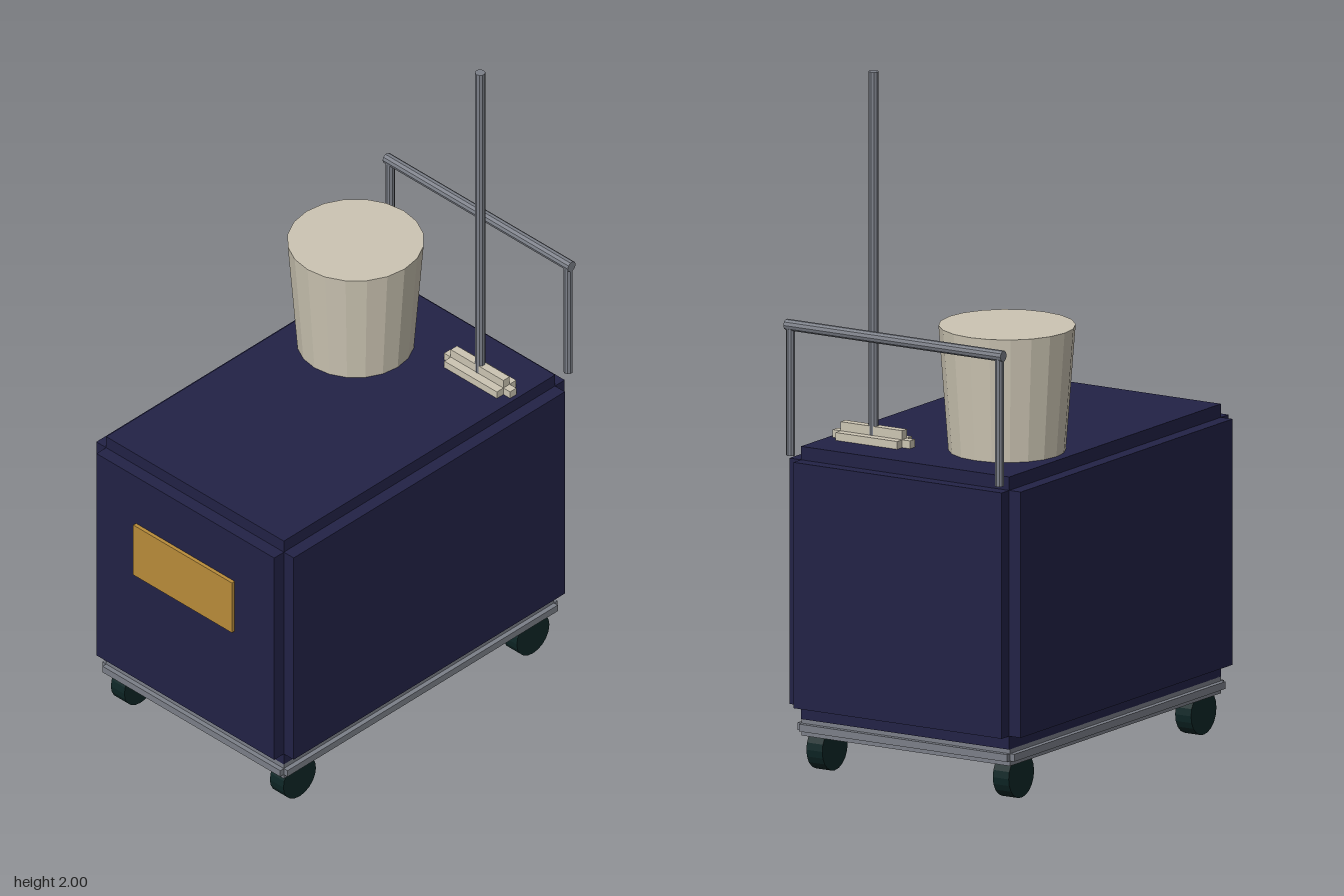
import * as THREE from 'three';

const mat = (name, color) => {
  const m = new THREE.MeshStandardMaterial({ color, flatShading: true });
  m.name = name;
  return m;
};

export function createModel() {
  const navy = mat('navy paint', 0x222246);
  const steel = mat('grey steel', 0x7b7f88);
  const cream = mat('cream plastic', 0xccc5b3);
  const brass = mat('brass plate', 0xb98c3a);
  const rubber = mat('dark rubber', 0x0e2626);

  const root = new THREE.Group();
  root.name = 'cleaningCart';

  const add = (parent, name, geometry, material, x, y, z) => {
    const mesh = new THREE.Mesh(geometry, material);
    mesh.name = name;
    mesh.position.set(x, y, z);
    parent.add(mesh);
    return mesh;
  };

  // Box with stepped edges: three crossing boxes, each full size along one axis
  const steppedBox = (name, material, size, inset, x, y, z) => {
    const group = new THREE.Group();
    group.name = name;
    group.position.set(x, y, z);
    ['Sides', 'TopAndBottom', 'Ends'].forEach((label, axis) => {
      const d = size.map((s, i) => (i === axis ? s : s - 2 * inset));
      add(group, name + label, new THREE.BoxGeometry(...d), material, 0, 0, 0);
    });
    root.add(group);
  };

  // Cabinet and the chassis below it
  steppedBox('cabinet', navy, [0.772, 0.782, 1.16], 0.0385, 0, 0.545, 0.009);
  steppedBox('chassis', steel, [0.724, 0.05, 1.108], 0.0145, 0, 0.131, 0.011);

  // Front plate
  add(root, 'frontPlate', new THREE.BoxGeometry(0.386, 0.174, 0.022), brass, 0, 0.648, 0.589);

  // Four wheels
  const wheel = new THREE.CylinderGeometry(0.065, 0.065, 0.053, 20);
  wheel.rotateZ(Math.PI / 2);
  for (const x of [-0.311, 0.311]) {
    for (const z of [0.477, -0.455]) {
      add(root, (z > 0 ? 'front' : 'back') + (x > 0 ? 'Left' : 'Right') + 'Wheel', wheel, rubber, x, 0.065, z);
    }
  }

  // Push handle behind the cabinet
  const handle = new THREE.Group();
  handle.name = 'pushHandle';
  root.add(handle);
  const post = new THREE.CylinderGeometry(0.013, 0.013, 0.375, 10);
  for (const x of [-0.348, 0.348]) add(handle, 'handlePost', post, steel, x, 1.108, -0.584);
  const bar = new THREE.CylinderGeometry(0.016, 0.016, 0.724, 10);
  bar.rotateZ(Math.PI / 2);
  add(handle, 'handleBar', bar, steel, 0, 1.294, -0.584);

  // Tapered bucket
  add(root, 'bucket', new THREE.CylinderGeometry(0.192, 0.164, 0.364, 20), cream, -0.156, 1.112, -0.25);

  // Mop: stepped head and long pole
  steppedBox('mopHead', cream, [0.258, 0.077, 0.077], 0.026, 0.205, 0.946, -0.379);
  add(root, 'mopPole', new THREE.CylinderGeometry(0.0145, 0.0145, 1.05, 10), steel, 0.205, 1.475, -0.379);

  return root;
}
